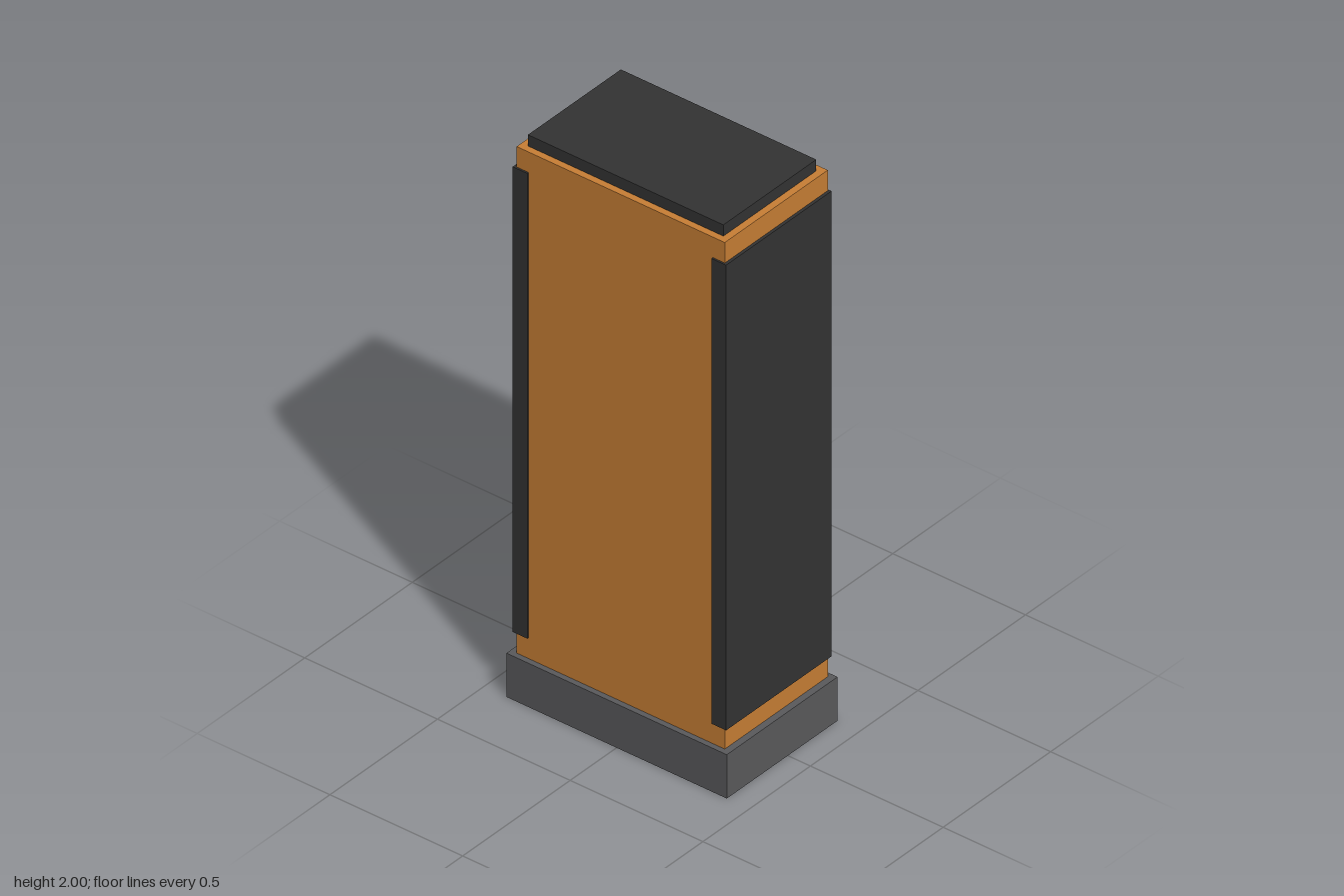
import * as THREE from 'three';

const mat = (name, color) => {
  const m = new THREE.MeshStandardMaterial({ color });
  m.name = name;
  return m;
};

export function createModel() {
  const orange = mat('orange', 0xc87f35);
  const dark = mat('charcoal', 0x333333);
  const grey = mat('grey', 0x5a5a5c);
  const blue = mat('blue', 0x4682b0);
  const red = mat('red', 0xc84044);
  const glass = mat('screenGlass', 0xb0c0c8);

  const root = new THREE.Group();
  root.name = 'handheldTerminal';

  // Box given by its extents along each axis
  const box = (name, m, x0, x1, y0, y1, z0, z1, parent = root) => {
    const mesh = new THREE.Mesh(new THREE.BoxGeometry(x1 - x0, y1 - y0, z1 - z0), m);
    mesh.position.set((x0 + x1) / 2, (y0 + y1) / 2, (z0 + z1) / 2);
    mesh.name = name;
    parent.add(mesh);
    return mesh;
  };

  // Case
  box('base', grey, -0.415, 0.415, 0, 0.156, -0.231, 0.284);
  box('body', orange, -0.392, 0.392, 0.156, 1.96, -0.214, 0.265);
  box('topCap', dark, -0.368, 0.368, 1.96, 2, -0.19, 0.242);
  box('leftGrip', dark, 0.347, 0.402, 0.23, 1.887, -0.219, 0.271);
  box('rightGrip', dark, -0.402, -0.347, 0.23, 1.887, -0.219, 0.271);

  // Control face on the rear
  box('keypadPanel', dark, -0.337, 0.337, 0.34, 1.49, -0.265, -0.21);
  box('screenFrame', dark, -0.312, 0.312, 1.49, 1.81, -0.265, -0.21);
  box('screen', glass, -0.245, 0.245, 1.53, 1.73, -0.269, -0.264);

  const keys = new THREE.Group();
  keys.name = 'keys';
  root.add(keys);
  const key = (name, m, x0, x1, y0, y1, z = -0.286) => box(name, m, x0, x1, y0, y1, z, -0.26, keys);

  // Evenly spaced row of keys, running from -x to +x
  const row = (name, count, half, y0, y1, gap, mats = {}) => {
    const pitch = (2 * half + gap) / count;
    for (let i = 0; i < count; i++) {
      const x = -half + i * pitch;
      key(name, mats[i] || grey, x, x + pitch - gap, y0, y1);
    }
  };
  row('softKey', 4, 0.304, 1.395, 1.485, 0.008, { 0: red, 3: blue });
  row('functionKey', 5, 0.304, 1.255, 1.35, 0.01);
  for (const y of [0.91, 0.77, 0.63, 0.49]) row('letterKey', 10, 0.304, y, y + 0.085, 0.012);
  row('wideKey', 4, 0.304, 0.365, 0.45, 0.01);

  // Large side keys and the direction pad between them
  for (const s of [-1, 1]) {
    key('sideKey', grey, s * 0.255 - 0.075, s * 0.255 + 0.075, 1.07, 1.185);
    key('arrowSide', grey, s * 0.095 - 0.045, s * 0.095 + 0.045, 1.07, 1.165);
  }
  key('arrowCentre', grey, -0.043, 0.043, 1.075, 1.16);
  key('arrowUp', grey, -0.043, 0.043, 1.17, 1.275, -0.285);
  key('arrowDown', grey, -0.043, 0.043, 0.955, 1.065, -0.285);

  // Row of small keys low on the body
  for (let i = 0; i < 6; i++) {
    const x = (i - 2.5) * 0.102;
    box('lowerKey', grey, x - 0.045, x + 0.045, 0.24, 0.288, -0.232, -0.21, keys);
  }
  return root;
}
